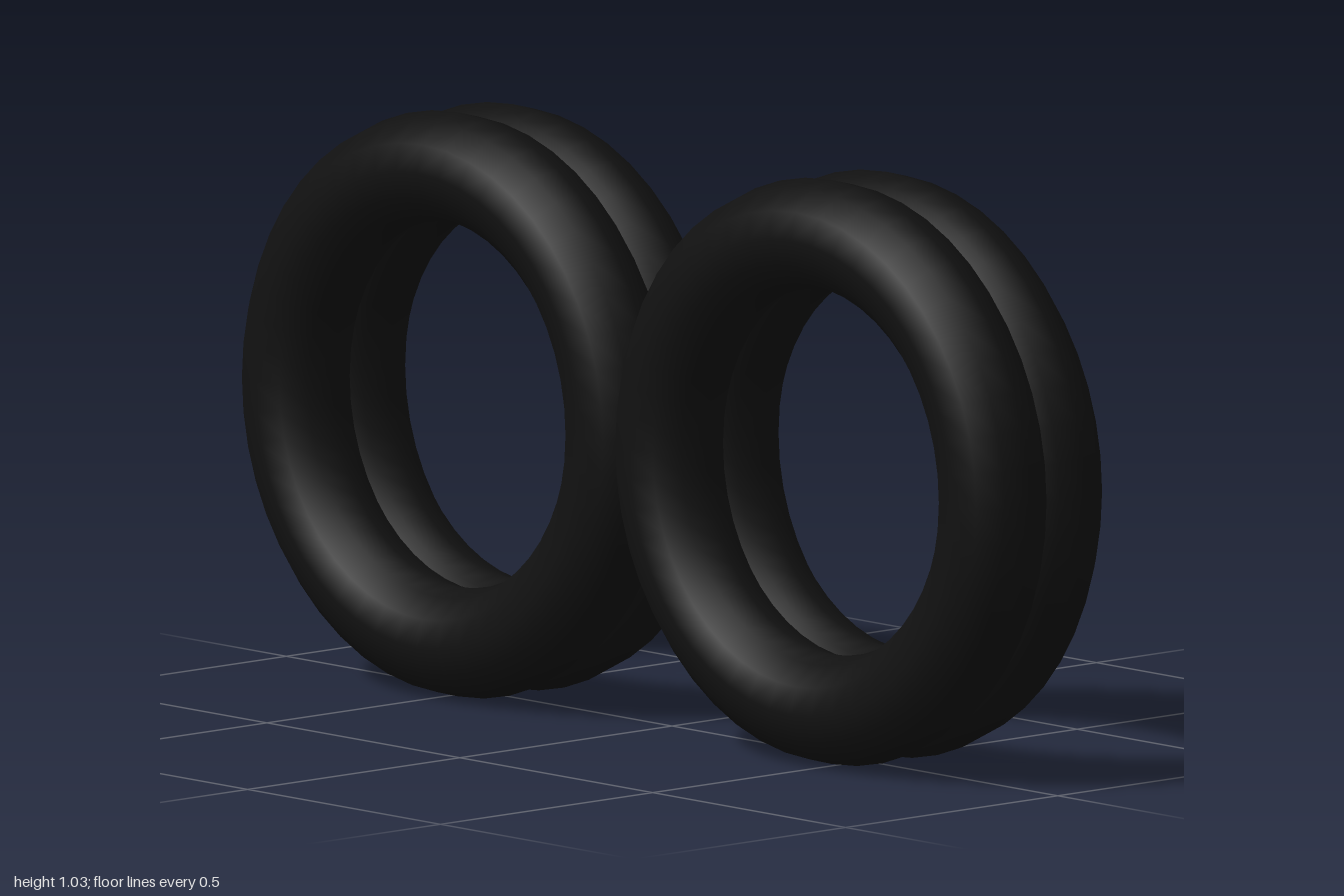
import * as THREE from 'three';

const RING_RADIUS = 0.4194;
const TUBE_RADIUS = 0.0968;
const RING_X = 0.4839;
const RING_Z = 0.0645;

export function createModel() {
  const model = new THREE.Group();
  model.name = 'twinTyres';

  const rubber = new THREE.MeshStandardMaterial({ color: 0x111111 });
  const ringGeometry = new THREE.TorusGeometry(RING_RADIUS, TUBE_RADIUS, 12, 48);

  // Two side-by-side tyres, each a pair of overlapping rings
  for (const [side, sx] of [['left', 1], ['right', -1]]) {
    const tyre = new THREE.Group();
    tyre.name = `${side}Tyre`;
    tyre.position.set(sx * RING_X, RING_RADIUS + TUBE_RADIUS, 0);
    for (const [end, sz] of [['Front', 1], ['Back', -1]]) {
      const ring = new THREE.Mesh(ringGeometry, rubber);
      ring.name = `${side}${end}Ring`;
      ring.position.z = sz * RING_Z;
      tyre.add(ring);
    }
    model.add(tyre);
  }
  return model;
}
